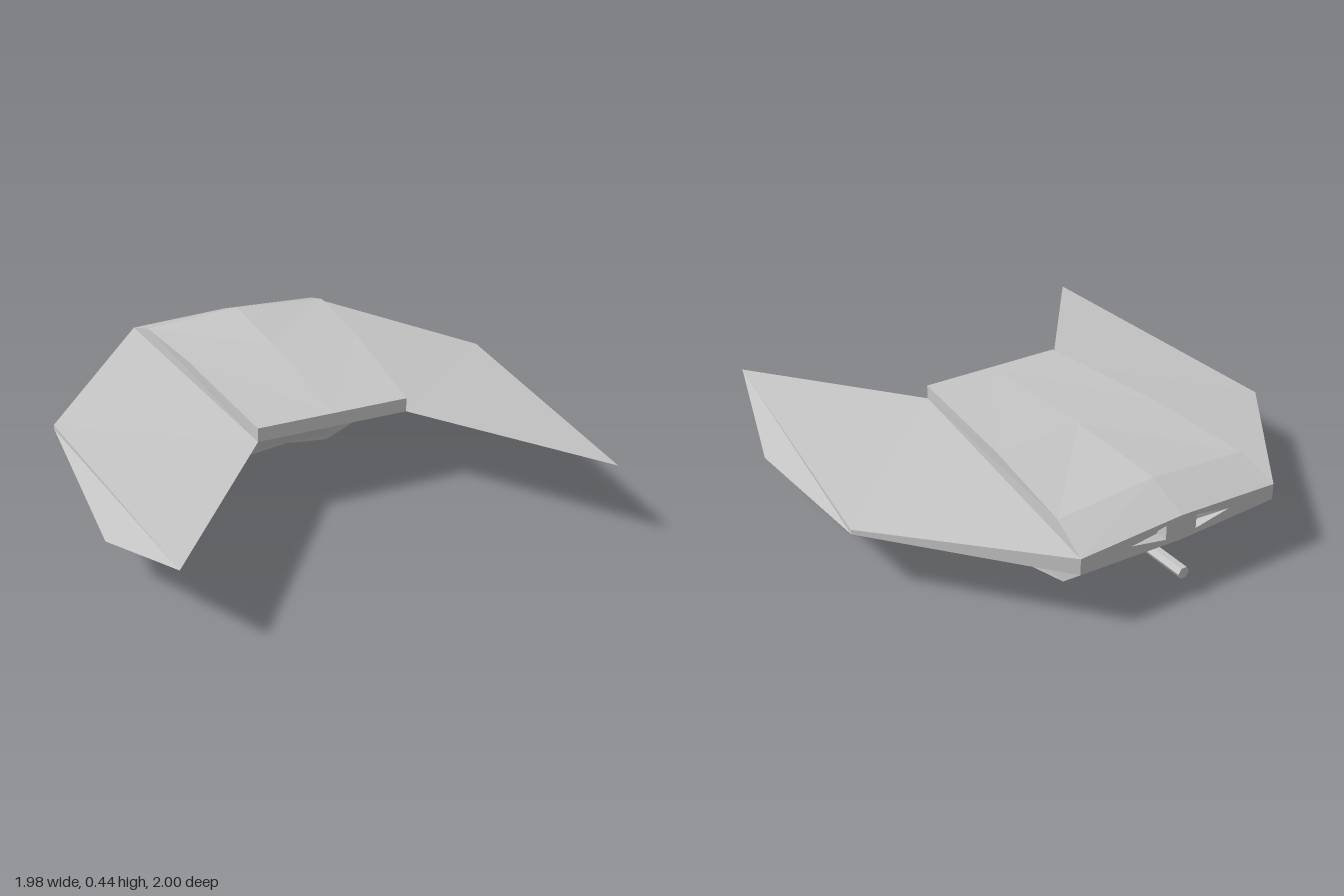
import * as THREE from 'three';

const hullGrey = new THREE.MeshStandardMaterial({ color: 0xc6c6c6, flatShading: true, side: THREE.DoubleSide });
hullGrey.name = 'hull grey';

// Flat panels given for the +x half, mirrored across x = 0
function panels(name, faces) {
  const pos = [];
  const fan = (p) => {
    for (let i = 1; i < p.length - 1; i++) pos.push(...p[0], ...p[i], ...p[i + 1]);
  };
  for (const f of faces) {
    fan(f);
    const m = f.map(([x, y, z]) => [-x, y, z]);
    fan([m[0], ...m.slice(1).reverse()]);
  }
  const g = new THREE.BufferGeometry();
  g.setAttribute('position', new THREE.Float32BufferAttribute(pos, 3));
  g.computeVertexNormals();
  const mesh = new THREE.Mesh(g, hullGrey);
  mesh.name = name;
  return mesh;
}

export function createModel() {
  const model = new THREE.Group();
  model.name = 'ship';

  // Shared corners: deck centre line, deck edge, wing root
  const centre = [[0, 0.435, 0.31], [0, 0.445, -0.33], [0, 0.43, -0.8], [0, 0.355, -0.97]];
  const edge = [[0.32, 0.435, 0.31], [0.385, 0.437, -0.33], [0.43, 0.4, -0.8], [0.45, 0.335, -0.97]];
  const rootFront = [0.32, 0.375, 0.31], rootBack = edge[3];
  const noseLow = [0, 0.375, 0.31];
  const lowFront = [0.445, 0.21, -0.17], lowBack = [0.45, 0.268, -0.97];

  // Raised deck
  const deck = [
    [noseLow, rootFront, edge[0], centre[0]],
    [rootFront, rootBack, edge[2], edge[1], edge[0]],
  ];
  for (let i = 0; i < 3; i++) deck.push([centre[i], edge[i], edge[i + 1], centre[i + 1]]);
  model.add(panels('deck', deck));

  // Wings sweeping forward
  const tip = [0.86, 0.378, 1], tipLow = [0.99, 0.21, 0.5];
  const outTop = [0.99, 0.285, -0.29], outLow = [0.99, 0.265, -0.29];
  model.add(panels('wings', [
    [rootFront, tip, outTop, rootBack],
    [tip, tipLow, outLow, outTop],
    [rootBack, outTop, outLow, lowBack],
    [lowBack, outLow, tipLow, lowFront],
    [lowFront, tipLow, tip, rootFront],
  ]));

  // Belly with a faceted front lip
  const brow = [0, 0.19, -0.11];
  const lip = [0, 0.03, -0.19], lipLow = [0.19, 0.003, -0.195], lipSide = [0.24, 0.032, -0.185];
  const cheek = [0.385, 0.105, -0.18], chin = [0.3, 0.035, -0.24];
  const side = [[0.445, 0.125, -0.23], [0.445, 0.085, -0.37], [0.445, 0.1, -0.56], [0.445, 0.175, -0.86]];
  const keel = [[0, 0.097, -0.56], [0, 0.165, -0.86], [0, 0.25, -0.97]];
  model.add(panels('belly', [
    [brow, lowFront, rootFront, noseLow],
    [brow, lip, lipSide, cheek, lowFront],
    [lip, lipLow, lipSide],
    [lipSide, lipLow, chin, cheek],
    [cheek, chin, side[1], side[0]],
    [cheek, side[0], lowFront],
    [lowFront, ...side, lowBack],
    [keel[0], side[2], side[1], chin, lipLow, lip],
    [keel[1], side[3], side[2], keel[0]],
    [keel[2], lowBack, side[3], keel[1]],
  ]));

  // Rear plate with two triangular openings
  const path = (pts, Type) => new Type(pts.map(([x, y]) => new THREE.Vector2(x, y)));
  const slot = [[0.23, 0.305], [0.07, 0.335], [0.07, 0.275]];
  const plate = path([[0, 0.25], [0.45, 0.268], [0.45, 0.335], [0, 0.355], [-0.45, 0.335], [-0.45, 0.268]], THREE.Shape);
  for (const s of [1, -1]) plate.holes.push(path(slot.map(([x, y]) => [s * x, y]), THREE.Path));
  const rear = new THREE.Mesh(new THREE.ShapeGeometry(plate), hullGrey);
  rear.name = 'rearPlate';
  rear.rotation.y = Math.PI;
  rear.position.z = -0.97;
  model.add(rear);

  // Wedge recesses behind the openings
  const [t, a, b] = slot.map(([x, y]) => [x, y, -0.97]);
  const [, a2, b2] = slot.map(([x, y]) => [x, y, -0.92]);
  model.add(panels('rearSlots', [[t, b2, a2], [a, a2, b2, b], [t, a2, a], [t, b, b2]]));

  // Rear barrel under the belly
  const barrel = new THREE.Mesh(new THREE.CylinderGeometry(0.025, 0.025, 0.46, 6), hullGrey);
  barrel.name = 'barrel';
  barrel.geometry.rotateY(Math.PI / 2).rotateX(Math.PI / 2);
  barrel.position.set(0, 0.12, -0.77);
  model.add(barrel);

  return model;
}
